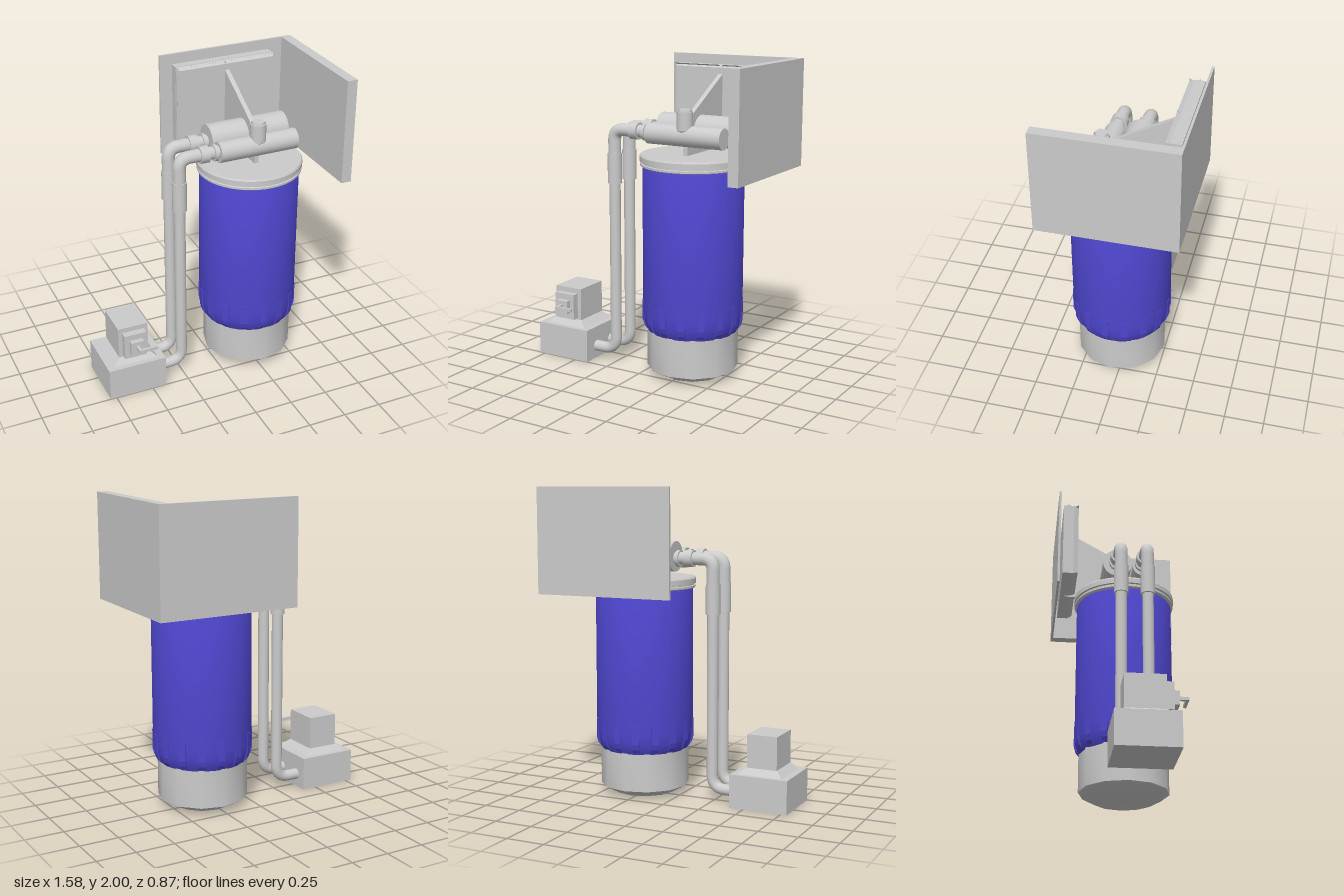
import * as THREE from 'three';
import { toCreasedNormals } from 'three/addons/utils/BufferGeometryUtils.js';

const grey = new THREE.MeshStandardMaterial({ color: 0xcccccc });
const blue = new THREE.MeshStandardMaterial({ color: 0x4e46cd });
const CX = 0.272, CZ = 0.036; // canister axis

export function createModel() {
  const model = new THREE.Group();

  function add(name, geometry, x = 0, y = 0, z = 0, material = grey, parent = model) {
    const mesh = new THREE.Mesh(geometry, material);
    mesh.name = name;
    mesh.position.set(x, y, z);
    parent.add(mesh);
    return mesh;
  }
  // box given by its minimum and maximum on each axis
  function box(name, x0, x1, y0, y1, z0, z1) {
    return add(name, new THREE.BoxGeometry(x1 - x0, y1 - y0, z1 - z0),
      (x0 + x1) / 2, (y0 + y1) / 2, (z0 + z1) / 2);
  }
  function lathe(name, profile, sides, material = grey) {
    const pts = profile.map(([r, y]) => new THREE.Vector2(r, y));
    return add(name, toCreasedNormals(new THREE.LatheGeometry(pts, sides), 0.6), CX, 0, CZ, material);
  }
  // cylinder lying along x
  function rod(name, x0, x1, r, y, z) {
    const g = new THREE.CylinderGeometry(r, r, x1 - x0, 24).rotateZ(Math.PI / 2);
    return add(name, g, (x0 + x1) / 2, y, z);
  }

  // corner walls
  box('backWall', -0.14, 0.785, 1.325, 2, -0.435, -0.42);
  box('sideWall', 0.718, 0.785, 1.325, 2, -0.42, 0.43);

  // canister: foot, body, lid
  lathe('foot', [[0, 0.005], [0.2, 0.005], [0.29, 0.055], [0.29, 0.305], [0, 0.305]], 12);
  lathe('body', [[0, 0.3], [0.285, 0.3], [0.3, 0.33], [0.312, 0.37], [0.317, 0.43],
    [0.317, 1.34], [0.31, 1.355], [0, 1.355]], 32, blue);
  lathe('lid', [[0, 1.35], [0.325, 1.352], [0.332, 1.357], [0.332, 1.37], [0.322, 1.372], [0.322, 1.38],
    [0.335, 1.382], [0.335, 1.415], [0.328, 1.425], [0, 1.425]], 48);

  // grip ribs round the lower body, tapering in at the bottom
  const rib = new THREE.Shape([[0.28, 0.315], [0.297, 0.315], [0.31, 0.335], [0.32, 0.37], [0.32, 0.495], [0.28, 0.495]]
    .map(([r, y]) => new THREE.Vector2(r, y)));
  const ribGeometry = new THREE.ExtrudeGeometry(rib, { depth: 0.044, bevelEnabled: false })
    .translate(0, 0, -0.022).rotateY(-Math.PI / 2);
  for (let i = 0; i < 16; i++) {
    add('gripRib', ribGeometry, CX, 0, CZ, blue).rotation.y = THREE.MathUtils.degToRad(-6 + 22.5 * i);
  }

  // wall bracket: plate, raised two-bay frame and gusset
  box('bracketPlate', -0.065, 0.61, 1.43, 1.94, -0.4, -0.345);
  const rectangle = (ShapeType, x0, x1, y0, y1) => new ShapeType([
    new THREE.Vector2(x0, y0), new THREE.Vector2(x1, y0), new THREE.Vector2(x1, y1), new THREE.Vector2(x0, y1)]);
  const frame = rectangle(THREE.Shape, -0.065, 0.61, 1.43, 1.94);
  frame.holes.push(rectangle(THREE.Path, -0.057, 0.25, 1.438, 1.932), rectangle(THREE.Path, 0.295, 0.602, 1.438, 1.932));
  add('bracketFrame', new THREE.ExtrudeGeometry(frame, {
    depth: 0.01, bevelThickness: 0.03, bevelSize: 0.013, bevelOffset: -0.013, bevelSegments: 1,
  }), 0, 0, -0.34);
  const gusset = new THREE.Shape([[0.36, 1.42], [0.36, 1.92], [-0.14, 1.64], [-0.14, 1.42]]
    .map(([z, y]) => new THREE.Vector2(z, y)));
  add('gusset', new THREE.ExtrudeGeometry(gusset, { depth: 0.03, bevelEnabled: false }).rotateY(Math.PI / 2), 0.257, 0, 0);

  // head manifolds and the plug post
  rod('rearManifold', 0.01, 0.535, 0.097, 1.563, -0.032);
  rod('frontManifold', 0.01, 0.535, 0.066, 1.546, 0.135);
  add('plugPost', new THREE.CylinderGeometry(0.05, 0.05, 0.115, 24), 0.273, 1.64, 0.15);
  add('plugPostBase', new THREE.CylinderGeometry(0.05, 0.03, 0.02, 24), 0.273, 1.5725, 0.15);
  add('plugCap', new THREE.CylinderGeometry(0.042, 0.046, 0.014, 6), 0.273, 1.704, 0.15);

  // pipe run from the manifold down to the valve box, with a rounded corner
  function pipe(name, points, bend, r, z) {
    const [a, b, c] = points.map(([x, y]) => new THREE.Vector3(x, y, z));
    const p = b.clone().add(a.clone().sub(b).setLength(bend));
    const q = b.clone().add(c.clone().sub(b).setLength(bend));
    const path = new THREE.CurvePath();
    path.add(new THREE.LineCurve3(a, p));
    path.add(new THREE.QuadraticBezierCurve3(p, b, q));
    path.add(new THREE.LineCurve3(q, c));
    add(name, new THREE.TubeGeometry(path, 80, r, 20), 0, 0, 0);
  }
  for (const z of [-0.035, 0.135]) {
    pipe('upperElbow', [[-0.05, 1.552], [-0.248, 1.552], [-0.248, 1.39]], 0.07, 0.041, z);
    pipe('lowerPipe', [[-0.248, 1.25], [-0.248, 0.085], [-0.42, 0.085]], 0.09, 0.036, z);
    add('pipeSleeve', new THREE.CylinderGeometry(0.046, 0.046, 0.195, 24), -0.248, 1.302, z);
    rod('pipeCoupling', -0.117, -0.06, 0.054, 1.552, z);
    rod('pipeNeck', -0.06, 0.02, 0.04, 1.552, z);
    rod('pipeFlange', -0.025, -0.004, 0.053, 1.55, z);
  }

  // valve box with sloped shoulder and tower
  box('valveBase', -0.79, -0.405, 0, 0.215, -0.13, 0.25);
  const shoulder = new THREE.BoxGeometry(1, 0.04, 1);
  const pos = shoulder.attributes.position;
  for (let i = 0; i < pos.count; i++) {
    const top = pos.getY(i) > 0;
    pos.setX(i, pos.getX(i) * (top ? 0.205 : 0.295));
    pos.setZ(i, pos.getZ(i) * (top ? 0.245 : 0.315));
  }
  shoulder.computeVertexNormals();
  add('valveShoulder', shoulder, -0.597, 0.235, 0.058);
  box('valveTower', -0.698, -0.498, 0.25, 0.468, -0.065, 0.18);

  // stepped boss and lever on the valve front
  box('valveBoss', -0.673, -0.525, 0.265, 0.435, 0.17, 0.226);
  box('valveBossStep', -0.64, -0.555, 0.308, 0.395, 0.22, 0.26);
  box('leverStem', -0.608, -0.588, 0.35, 0.37, 0.25, 0.32);
  box('lever', -0.608, -0.482, 0.35, 0.37, 0.303, 0.32);

  return model;
}
